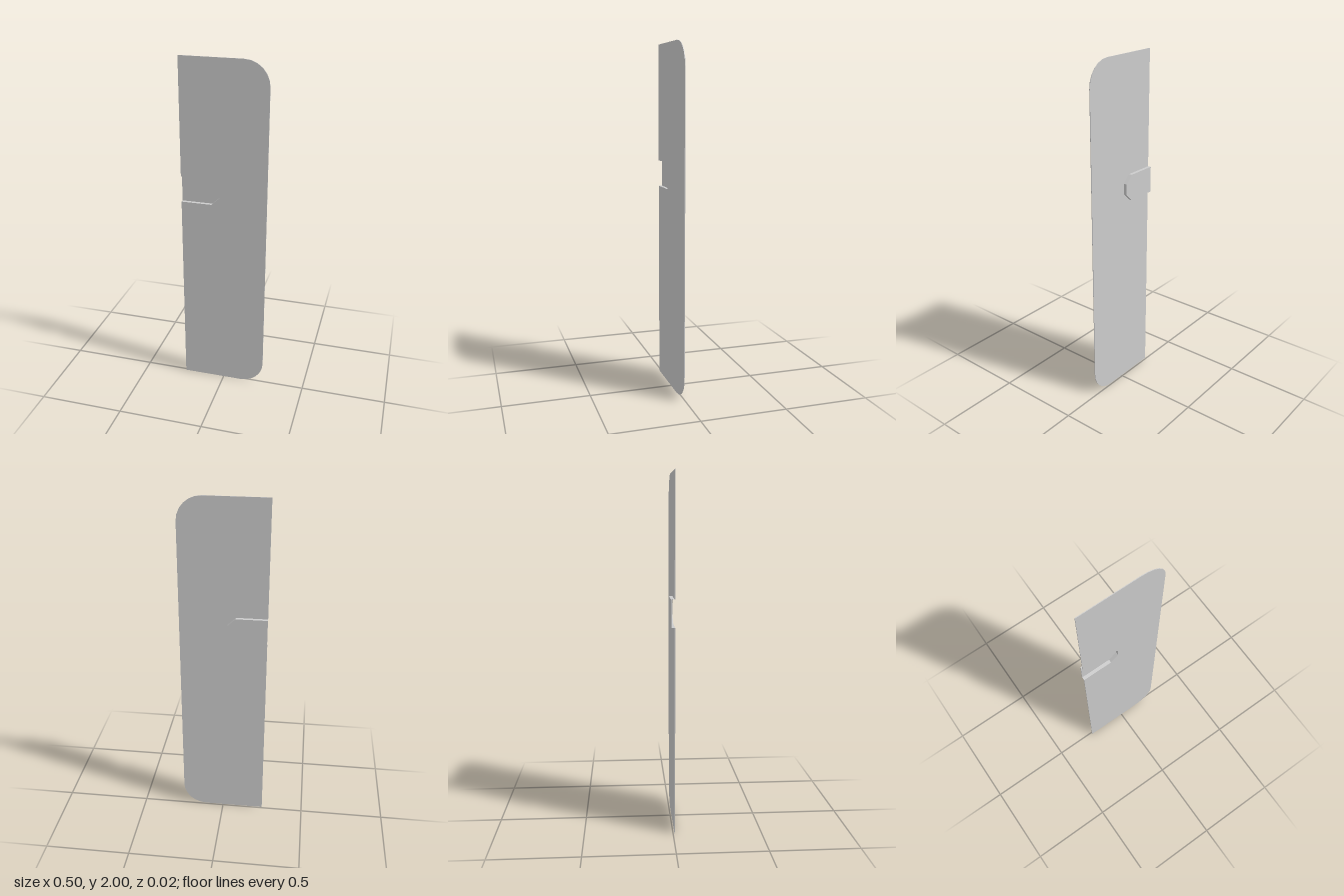
import * as THREE from 'three';

const LEFT = -0.249, RIGHT = 0.249, HEIGHT = 2, RADIUS = 0.14;
const FRONT = 0.0116, BACK = -0.0116, THICK = 0.0039;

// Pocket outline, open at the straight edge of the plate
const pocket = [
  [LEFT, 1.173], [-0.071, 1.173], [-0.024, 1.218],
  [-0.024, 1.281], [-0.071, 1.326], [LEFT, 1.326],
];

export function createModel() {
  const group = new THREE.Group();
  const material = new THREE.MeshStandardMaterial({
    color: 0xcccccc, flatShading: true, side: THREE.DoubleSide,
  });

  const add = (name, geometry, z = 0) => {
    const mesh = new THREE.Mesh(geometry, material);
    mesh.name = name;
    mesh.position.z = z;
    group.add(mesh);
  };
  const sheet = (shape) => new THREE.ExtrudeGeometry(shape, {
    depth: THICK, bevelEnabled: false, curveSegments: 3,
  });

  // Thin plate with two rounded corners and a notch for the pocket
  const plate = new THREE.Shape();
  plate.moveTo(LEFT, 0);
  plate.lineTo(RIGHT - RADIUS, 0);
  plate.absarc(RIGHT - RADIUS, RADIUS, RADIUS, -Math.PI / 2, 0, false);
  plate.absarc(RIGHT - RADIUS, HEIGHT - RADIUS, RADIUS, 0, Math.PI / 2, false);
  plate.lineTo(LEFT, HEIGHT);
  for (const [x, y] of [...pocket].reverse()) plate.lineTo(x, y);
  plate.closePath();
  add('plate', sheet(plate), FRONT - THICK);

  // Floor of the pocket, set back behind the plate
  const floor = new THREE.Shape(pocket.map(([x, y]) => new THREE.Vector2(x, y)));
  add('pocketFloor', sheet(floor), BACK);

  // Thin walls joining the floor to the plate, open at the plate's edge
  const positions = [], indices = [];
  pocket.forEach(([x, y], i) => {
    positions.push(x, y, BACK + THICK, x, y, FRONT - THICK);
    if (i > 0) {
      const a = 2 * (i - 1);
      indices.push(a, a + 2, a + 1, a + 1, a + 2, a + 3);
    }
  });
  const walls = new THREE.BufferGeometry();
  walls.setAttribute('position', new THREE.Float32BufferAttribute(positions, 3));
  walls.setIndex(indices);
  walls.computeVertexNormals();
  add('pocketWalls', walls);

  return group;
}
